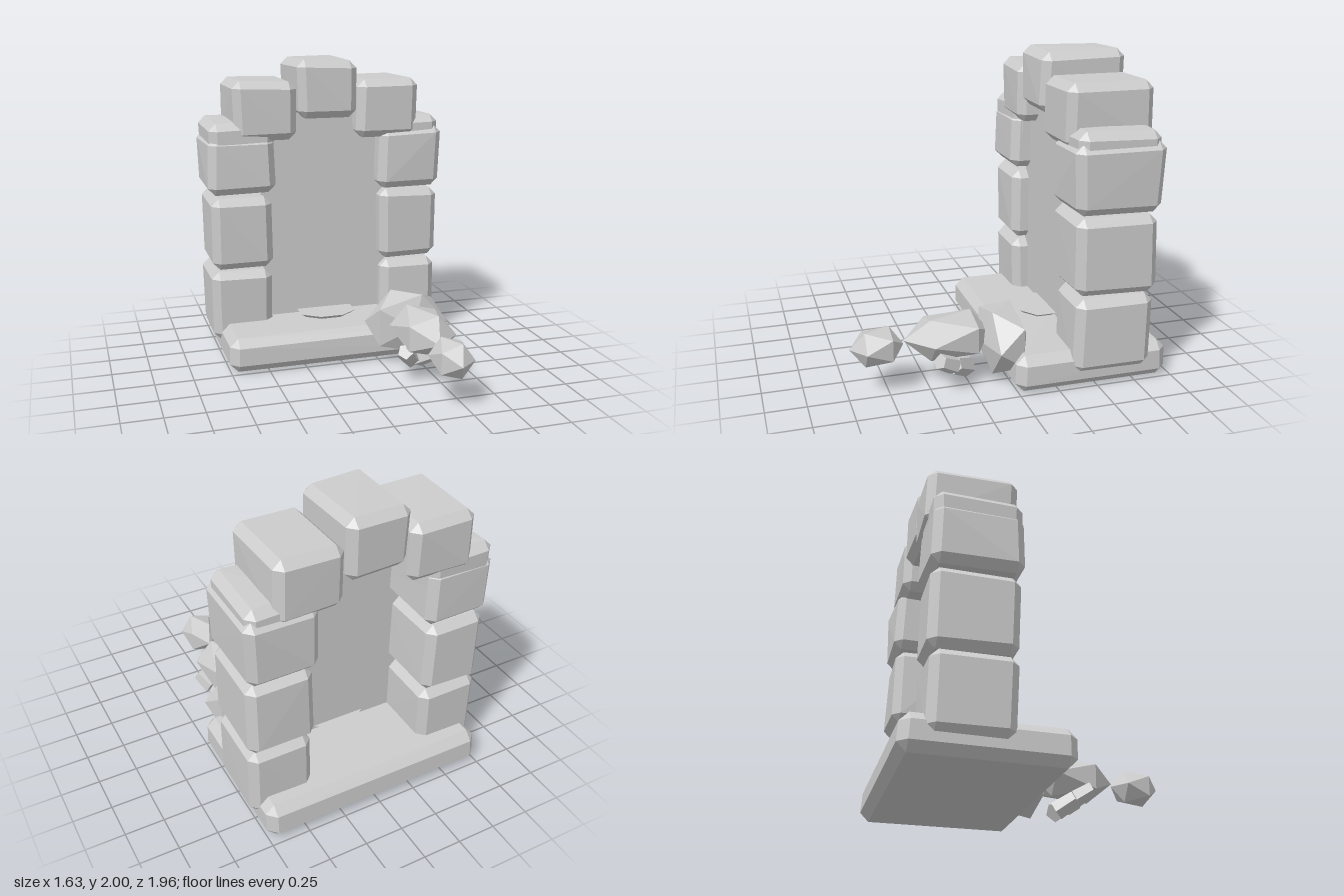
import * as THREE from 'three';
import { ConvexGeometry } from 'three/addons/geometries/ConvexGeometry.js';

const stone = new THREE.MeshStandardMaterial({ color: 0xcccccc });
stone.name = 'pale stone';
const sheet = new THREE.MeshStandardMaterial({ color: 0xcccccc, side: THREE.DoubleSide });
sheet.name = 'pale stone sheet';

// Small seeded generator for the rough-cut look
let seed = 7;
const jitter = (amount) => {
  seed = (seed * 16807) % 2147483647;
  return (seed / 2147483647 - 0.5) * 2 * amount;
};

function add(group, name, geometry, material = stone) {
  const mesh = new THREE.Mesh(geometry, material);
  mesh.name = name;
  group.add(mesh);
  return mesh;
}

// Box with cut edges and slightly irregular corners, given by its ranges
function roughBlock([x0, x1], [y0, y1], [z0, z1], cut, rough) {
  const points = [];
  for (const sx of [-1, 1]) for (const sy of [-1, 1]) for (const sz of [-1, 1]) {
    const x = (sx < 0 ? x0 : x1) - sx * (rough + jitter(rough));
    const y = (sy < 0 ? y0 : y1) - sy * (rough + jitter(rough));
    const z = (sz < 0 ? z0 : z1) - sz * (rough + jitter(rough));
    points.push(
      new THREE.Vector3(x, y - sy * cut, z - sz * cut),
      new THREE.Vector3(x - sx * cut, y, z - sz * cut),
      new THREE.Vector3(x - sx * cut, y - sy * cut, z),
    );
  }
  return new ConvexGeometry(points);
}

// Faceted lump along z: a pole at each end and two staggered pentagons
function lump(x, y, rx, ry, [back, ringBack, ringFront, front]) {
  const points = [new THREE.Vector3(x, y, back), new THREE.Vector3(x, y, front)];
  for (let i = 0; i < 5; i++) {
    const a = (i / 5) * Math.PI * 2;
    points.push(new THREE.Vector3(x + rx * Math.cos(a), y + ry * Math.sin(a), ringFront));
    points.push(new THREE.Vector3(x - rx * Math.cos(a), y - ry * Math.sin(a), ringBack));
  }
  return new ConvexGeometry(points);
}

// Five-sided limb segment between two points
function limb(a, b, ra, rb) {
  const from = new THREE.Vector3(...a), to = new THREE.Vector3(...b);
  const dir = to.clone().sub(from);
  const geometry = new THREE.CylinderGeometry(rb, ra, dir.length(), 5).toNonIndexed();
  geometry.computeVertexNormals();
  geometry.applyQuaternion(new THREE.Quaternion().setFromUnitVectors(
    new THREE.Vector3(0, 1, 0), dir.normalize()));
  const mid = from.add(to).multiplyScalar(0.5);
  return geometry.translate(mid.x, mid.y, mid.z);
}

export function createModel() {
  const model = new THREE.Group();
  model.name = 'stoneArchway';

  // Base slab
  add(model, 'baseSlab', roughBlock([-0.76, 0.76], [0, 0.245], [-0.98, 0.02], 0.055, 0.006));

  // Arch stones: name, x range, y range, z range
  const arch = new THREE.Group();
  arch.name = 'arch';
  model.add(arch);
  const stones = [
    ['rightFoot', [-0.81, -0.385], [0.1, 0.6], [-0.85, -0.33]],
    ['rightMiddle', [-0.8, -0.38], [0.6, 1.105], [-0.86, -0.32]],
    ['rightUpper', [-0.82, -0.36], [1.115, 1.51], [-0.87, -0.305]],
    ['rightUpperInner', [-0.8, -0.36], [1.13, 1.61], [-0.86, -0.32]],
    ['rightShoulder', [-0.645, -0.205], [1.47, 1.875], [-0.88, -0.305]],
    ['keystone', [-0.215, 0.21], [1.6, 2.005], [-0.875, -0.3]],
    ['leftShoulder', [0.195, 0.64], [1.46, 1.87], [-0.88, -0.305]],
    ['leftUpper', [0.355, 0.815], [1.1, 1.54], [-0.88, -0.305]],
    ['leftUpperInner', [0.4, 0.795], [1.13, 1.615], [-0.86, -0.32]],
    ['leftMiddle', [0.37, 0.81], [0.595, 1.105], [-0.86, -0.32]],
    ['leftFoot', [0.38, 0.805], [0.1, 0.6], [-0.85, -0.33]],
  ];
  for (const [name, x, y, z] of stones) {
    add(arch, name + 'Stone', roughBlock(x, y, z, 0.05, 0.008));
  }

  // Flat pane set a little behind the front of the opening
  const half = [[0.45, 0.2], [0.45, 1.4], [0.32, 1.58], [0.12, 1.68]];
  const outline = [...half, ...half.slice().reverse().map(([x, y]) => [-x, y])];
  const pane = new THREE.Shape(outline.map(([x, y]) => new THREE.Vector2(x, y)));
  add(model, 'pane', new THREE.ShapeGeometry(pane), sheet).position.z = -0.44;

  // Thin flat stone on the threshold
  const flat = new THREE.CylinderGeometry(0.21, 0.17, 0.025, 8).toNonIndexed();
  flat.rotateY(Math.PI / 8).scale(1, 1, 0.75).computeVertexNormals();
  add(model, 'thresholdStone', flat).position.set(-0.01, 0.25, -0.37);

  // Small creature lying in front: rump, body, head and two bent legs
  const creature = new THREE.Group();
  creature.name = 'creature';
  model.add(creature);
  add(creature, 'rump', lump(0.435, 0.265, 0.265, 0.215, [-0.14, -0.055, 0.11, 0.18]));
  add(creature, 'body', lump(0.425, 0.315, 0.175, 0.14, [0.1, 0.21, 0.49, 0.65]));
  add(creature, 'head', lump(0.43, 0.3, 0.12, 0.115, [0.65, 0.73, 0.89, 0.98]));
  for (const side of [-1, 1]) {
    const x = 0.43;
    const hip = [x + side * 0.16, 0.225, 0.46];
    const knee = [x + side * 0.11, 0.165, 0.36];
    const foot = [x - 0.02 + side * 0.02, 0.09, 0.25];
    const label = side > 0 ? 'left' : 'right';
    add(creature, label + 'Thigh', limb(hip, knee, 0.05, 0.06));
    add(creature, label + 'Shin', limb(knee, foot, 0.055, 0.065));
  }
  return model;
}
